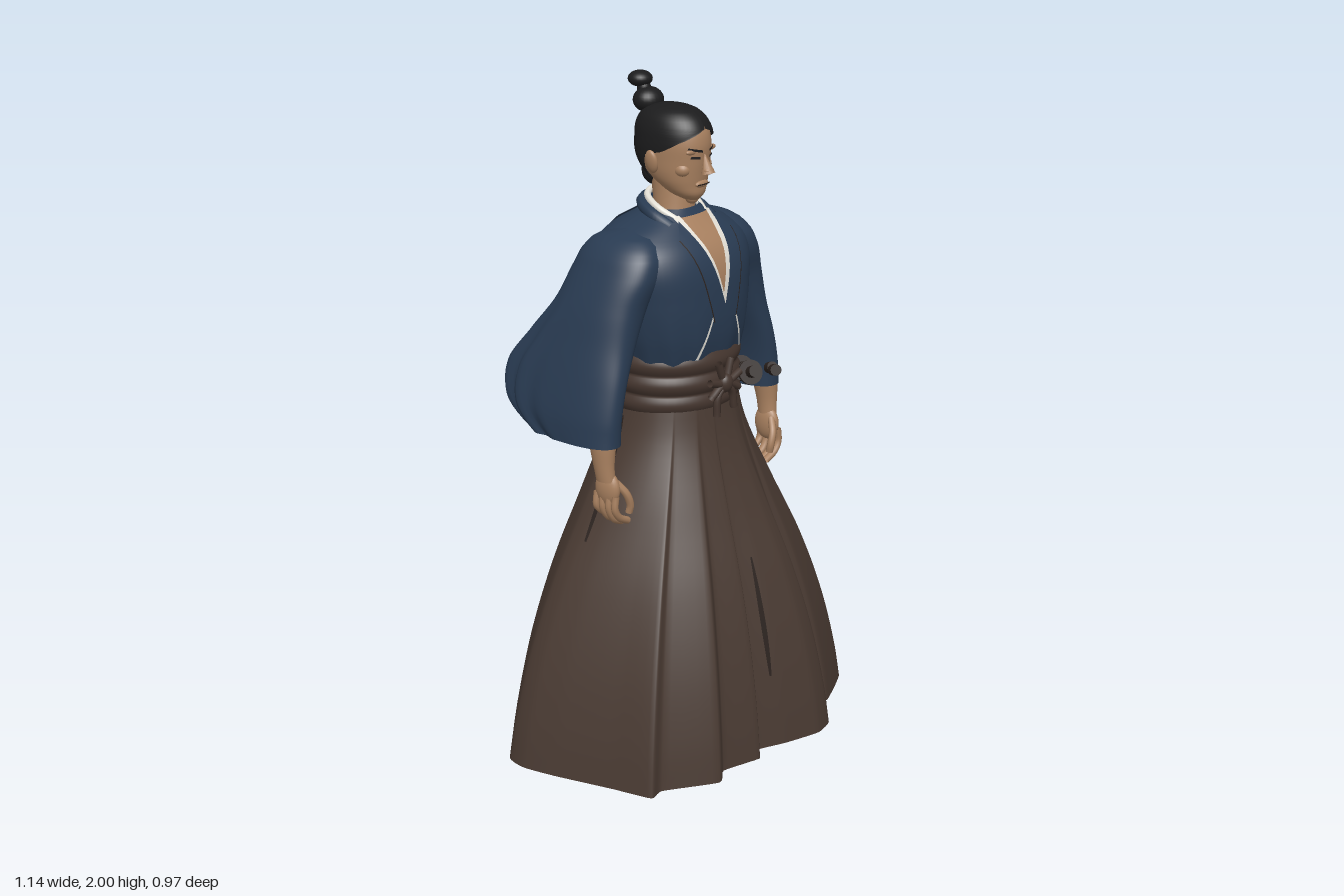
import * as THREE from 'three';

const mat = (name, color) => {
  const m = new THREE.MeshStandardMaterial({ color, side: THREE.DoubleSide });
  m.name = name;
  return m;
};
const V = (x, y, z) => new THREE.Vector3(x, y, z);

// Smooth surface through rows of points, each row running round the body
function loft(rows, closed = true) {
  const n = rows[0].length, pos = [], idx = [];
  rows.forEach(r => r.forEach(p => pos.push(p.x, p.y, p.z)));
  for (let i = 0; i < rows.length - 1; i++)
    for (let j = 0; j < (closed ? n : n - 1); j++) {
      const a = i * n + j, b = i * n + (j + 1) % n;
      idx.push(a, b, b + n, a, b + n, a + n);
    }
  const g = new THREE.BufferGeometry();
  g.setAttribute('position', new THREE.Float32BufferAttribute(pos, 3));
  g.setIndex(idx);
  g.computeVertexNormals();
  return g;
}

// Body of stacked super-ellipses; rings are [y, cx, cz, rx, rz]
function body(rings, p = 2) {
  const interp = new THREE.CubicInterpolant(rings.map(r => r[0]), rings.flatMap(r => r.slice(1)), 4);
  const at = y => Array.from(interp.evaluate(y));
  const pw = v => Math.sign(v) * Math.abs(v) ** (2 / p);
  const point = (y, a, off = 0) => {
    const [cx, cz, rx, rz] = at(y);
    return V(cx + (rx + off) * pw(Math.sin(a)), y, cz + (rz + off) * pw(Math.cos(a)));
  };
  const side = (x, y, off, s = 1) => {
    const [cx, cz, rx, rz] = at(y);
    const f = Math.max(0, 1 - Math.abs((x - cx) / (rx + off)) ** p) ** (1 / p);
    return V(x, y, cz + s * (rz + off) * f);
  };
  const y0 = rings[0][0], y1 = rings[rings.length - 1][0];
  const geometry = (nr = 30, nc = 48, offset = () => 0) => loft(Array.from({ length: nr + 1 }, (_, i) => {
    const y = y0 + (y1 - y0) * i / nr;
    return Array.from({ length: nc }, (_, j) => point(y, j / nc * Math.PI * 2, offset(y, j / nc * Math.PI * 2)));
  }));
  // thin four-cornered patch lying on the front (s = 1) or back (s = -1)
  const patch = (bl, br, tr, tl, off, s = 1, n = 10) => loft(Array.from({ length: n + 1 }, (_, i) =>
    Array.from({ length: n + 1 }, (_, j) => {
      const v = i / n, u = j / n, mix = k => (bl[k] * (1 - u) + br[k] * u) * (1 - v) + (tl[k] * (1 - u) + tr[k] * u) * v;
      return side(mix(0), mix(1), off, s);
    })), false);
  return { point, side, geometry, patch };
}

const tube = (pts, r, seg = 20) => new THREE.TubeGeometry(new THREE.CatmullRomCurve3(pts.map(p => V(...p))), seg, r, 8);

export function createModel() {
  const root = new THREE.Group();
  root.name = 'swordsman';
  const navy = mat('navy cloth', 0x293b52), brown = mat('brown cloth', 0x493a32), dark = mat('dark brown', 0x2a211d);
  const skin = mat('skin', 0xa98160), hair = mat('black hair', 0x1c1c1d), white = mat('white linen', 0xe4e0d6);
  const black = mat('black lacquer', 0x242222), straw = mat('tan sole', 0xa07252), belt = mat('belt brown', 0x44352e);
  const add = (name, geo, m, parent = root) => {
    const mesh = new THREE.Mesh(geo, m);
    mesh.name = name;
    parent.add(mesh);
    return mesh;
  };
  const ball = (name, m, p, s, parent) => {
    const mesh = add(name, new THREE.SphereGeometry(1, 24, 16), m, parent);
    mesh.position.set(...p);
    mesh.scale.set(...s);
    return mesh;
  };

  // Wide pleated skirt: waist ellipse blended into an irregular hem
  const hem = new THREE.CatmullRomCurve3([
    [-.12, -.41], [0, -.37], [.11, -.33], [.28, -.335], [.4, -.3], [.46, -.22], [.54, -.05], [.57, .11], [.55, .19], [.46, .3],
    [.31, .37], [.27, .35], [.24, .385], [.2, .46], [.13, .475], [.02, .44], [-.07, .4], [-.1, .44], [-.22, .405], [-.28, .44],
    [-.42, .345], [-.47, .35], [-.5, .23], [-.55, .05], [-.57, -.05], [-.555, -.12], [-.4, -.25], [-.25, -.35],
  ].map(([x, z]) => V(x, 0, z)), true, 'catmullrom', .22);
  const flare = new THREE.CubicInterpolant([.085, .2, .4, .6, .8, 1, 1.1], [1, .945, .8, .59, .32, .07, 0], 1);
  const skirtPoint = (u, y, off = 0) => {
    const h = hem.getPoint((u + 1) % 1), a = Math.atan2(h.x / .57, (h.z - .03) / .43), k = flare.evaluate(y)[0];
    const p = V(.19 * Math.sin(a), y, .03 + .17 * Math.cos(a)).lerp(V(h.x, y, h.z), k);
    p.x += off * Math.sin(a);
    p.z += off * Math.cos(a);
    p.y += .025 * h.x * k ** 3;
    return p;
  };
  add('skirt', loft(Array.from({ length: 29 }, (_, i) =>
    Array.from({ length: 140 }, (_, j) => skirtPoint(1 - j / 140, .085 + 1.015 * i / 28)))), brown);
  // Slits: front, back and both hips
  for (const [name, k, w, y0, y1] of [['frontSlit', 15.35, .08, .3, .65], ['backSlit', .6, .13, .09, .68],
    ['leftHipSlit', 6.4, .12, .72, 1.06], ['rightHipSlit', 23.6, .12, .72, 1.06]])
    add(name, loft(Array.from({ length: 13 }, (_, i) => [1, -1].map(s =>
      skirtPoint((k + s * w * Math.sin(Math.PI * (i + 2) / 16)) / 28, y0 + (y1 - y0) * i / 12, .004))), false), dark);

  // Belt in three rounded bands, with front knot and back panel
  const waist = body([[1.07, 0, .022, .19, .172], [1.15, 0, .022, .194, .177], [1.245, 0, .02, .194, .175]]);
  add('belt', waist.geometry(36, 56, y => .011 * Math.abs(Math.sin((y - 1.07) / .175 * Math.PI * 3))), belt);
  add('backPanel', waist.patch([-.11, 1.075], [.11, 1.075], [.075, 1.17], [-.075, 1.17], .016, -1), brown);
  const knots = [[[-.065, 1.165], [0, 1.15], [.065, 1.17]], [[-.035, 1.06], [-.03, 1.12], [0, 1.15], [.025, 1.22]],
    [[.04, 1.07], [.03, 1.12], [0, 1.15], [-.03, 1.215]], [[-.06, 1.12], [0, 1.15], [.06, 1.125]]];
  for (const s of [1, -1])
    knots.forEach(k => add(s > 0 ? 'frontKnotCord' : 'backKnotCord',
      tube(k.map(([x, y]) => [x, y - (s < 0 ? .03 : 0), s > 0 ? .215 : -.172]), .011), belt));
  ball('frontKnot', belt, [0, 1.152, .217], [.024, .028, .02]);
  ball('backKnot', belt, [0, 1.122, -.175], [.026, .028, .02]);

  // Jacket
  const torso = body([[1.2, 0, .02, .186, .165], [1.24, 0, .02, .197, .175], [1.3, 0, .015, .215, .189], [1.4, 0, .01, .235, .194],
    [1.5, 0, .005, .247, .185], [1.55, 0, .005, .228, .16], [1.59, 0, .002, .175, .126], [1.615, 0, .01, .12, .095],
    [1.64, 0, .02, .07, .066]], 2.4);
  add('jacket', torso.geometry(40, 64, (y, a) => .004 * Math.sin(a * 14) * Math.max(0, (1.38 - y) / .18)), navy);
  add('chest', torso.patch([-.002, 1.4], [.002, 1.4], [.062, 1.622], [-.062, 1.622], .004), skin);
  for (const s of [1, -1]) {
    const m = pts => pts.map(([x, y]) => [x * s, y]);
    add('innerCollar', torso.patch(...m([[-.008, 1.385], [.012, 1.385], [.076, 1.622], [.056, 1.628]]), .006), white);
    add('collar', torso.patch(...m([[-.01, 1.355], [.045, 1.34], [.108, 1.575], [.07, 1.617]]), s > 0 ? .011 : .009), navy);
    add('collarSeam', torso.patch(...m([[.044, 1.34], [.048, 1.34], [.111, 1.575], [.107, 1.575]]), .011), dark);
    add('jacketEdge', torso.patch(...m([[.088, 1.235], [.097, 1.235], [.044, 1.37], [.038, 1.37]]), .007), white);
  }
  add('innerNeckband', tube([[-.06, 1.615, .088], [-.077, 1.645, .03], [-.05, 1.665, -.03], [0, 1.672, -.052],
    [.05, 1.665, -.03], [.077, 1.645, .03], [.06, 1.615, .088]], .01, 40), white);
  add('neckband', tube([[-.085, 1.598, .088], [-.092, 1.625, .03], [-.06, 1.645, -.04], [0, 1.65, -.064],
    [.06, 1.645, -.04], [.092, 1.625, .03], [.085, 1.598, .088]], .018, 40), navy);
  add('backCollarTab', torso.patch([-.075, 1.565], [.075, 1.565], [.06, 1.625], [-.06, 1.625], .009, -1), navy);

  // Neck and head
  add('neck', body([[1.56, 0, .03, .075, .065], [1.62, 0, .028, .06, .058], [1.68, 0, .02, .054, .06],
    [1.75, 0, .01, .054, .06]]).geometry(14, 32), skin);
  const head = body([[1.665, 0, .088, .018, .022], [1.68, 0, .073, .042, .049], [1.71, 0, .053, .064, .073], [1.74, 0, .036, .075, .094],
    [1.78, 0, .025, .08, .11], [1.83, 0, .025, .081, .113], [1.87, 0, .022, .074, .104], [1.9, 0, .02, .055, .078],
    [1.913, 0, .02, .033, .048], [1.92, 0, .02, .001, .001]], 2.15);
  add('head', head.geometry(36, 48), skin);
  add('chinCap', new THREE.SphereGeometry(.021, 16, 10), skin).position.set(0, 1.672, .09);
  const nose = add('nose', new THREE.ConeGeometry(.02, .06, 12), skin);
  nose.position.set(0, 1.775, .142);
  nose.rotation.x = -.25;
  ball('noseTip', skin, [0, 1.755, .15], [.017, .011, .014]);
  ball('lips', skin, [0, 1.714, .126], [.026, .01, .009]);
  add('mouthLine', head.patch([-.026, 1.712], [.026, 1.712], [.024, 1.716], [-.024, 1.716], .01), dark);
  for (const s of [1, -1]) {
    const m = pts => pts.map(([x, y]) => [x * s, y]);
    add('eye', head.patch(...m([[.018, 1.788], [.046, 1.791], [.044, 1.798], [.02, 1.795]]), .003), black);
    add('eyebrow', head.patch(...m([[.014, 1.806], [.054, 1.816], [.052, 1.822], [.014, 1.813]]), .004), hair);
    ball('brow', skin, [.034 * s, 1.81, .122], [.028, .009, .009]);
    ball('cheek', skin, [.044 * s, 1.757, .092], [.024, .022, .026]);
    ball('ear', skin, [.087 * s, 1.775, .018], [.012, .034, .021]).rotation.z = -.2 * s;
  }

  // Hair cap with receding hairline, then the topknot
  const hairline = new THREE.LinearInterpolant([1.715, 1.75, 1.79, 1.805, 1.83, 1.85, 1.866], [2.15, 1.95, 1.8, 1.35, .95, .45, 0], 1);
  add('hair', loft(Array.from({ length: 31 }, (_, i) => {
    const y = 1.715 + .205 * i / 30, a = y > 1.866 ? 0 : hairline.evaluate(y)[0];
    return Array.from({ length: 49 }, (_, j) => {
      const p = head.point(y, a + (Math.PI * 2 - 2 * a) * j / 48, i === 30 ? 0 : .008);
      p.y += .006 * i / 30;
      return p;
    });
  }), false), hair);
  ball('napeHair', hair, [0, 1.735, -.03], [.06, .05, .04]);
  ball('topknotBase', hair, [0, 1.922, -.07], [.046, .036, .042]);
  ball('topknotTie', hair, [0, 1.95, -.086], [.02, .026, .02]);
  ball('topknotTip', hair, [0, 1.977, -.1], [.035, .023, .035]);

  // One arm with its hanging sleeve, and one foot; mirrored for the other side
  for (const s of [1, -1]) {
    const half = new THREE.Group();
    half.name = s > 0 ? 'leftLimbs' : 'rightLimbs';
    half.scale.x = s;
    root.add(half);
    const sleeve = body([[1.03, .35, -.03, .063, .15], [1.06, .348, -.055, .065, .175], [1.1, .345, -.076, .066, .197],
      [1.2, .322, -.085, .07, .205], [1.3, .286, -.06, .08, .175], [1.4, .25, -.025, .086, .145], [1.5, .205, -.002, .086, .137],
      [1.55, .185, 0, .074, .118], [1.585, .165, 0, .045, .07], [1.597, .155, 0, .005, .01]], 2.3);
    add('sleeve', sleeve.geometry(36, 72, (y, a) =>
      .014 * Math.sin(a * 11 + y * 8) * Math.max(0, -Math.cos(a)) * Math.min(1, Math.max(0, (1.42 - y) / .2))), navy, half);
    add('forearm', body([[.93, .358, .085, .023, .03], [.97, .36, .08, .026, .032], [1.05, .356, .072, .036, .042],
      [1.2, .33, .05, .042, .046]]).geometry(14, 24), skin, half);
    ball('palm', skin, [.353, .905, .087], [.022, .052, .042], half);
    for (let i = 0; i < 4; i++) {
      const z = .123 - i * .023, d = [.008, 0, .003, .014][i];
      add('finger', tube([[.36, .89, z], [.363, .85, z], [.345, .815 + d, z], [.308, .795 + d, z - .003]], .0105), skin, half);
    }
    add('thumb', tube([[.345, .925, .11], [.325, .89, .132], [.313, .855, .135], [.313, .832, .13]], .011), skin, half);

    const sole = add('sandalSole', new THREE.CylinderGeometry(1, 1, .022, 36), straw, half);
    sole.position.set(.105, .011, .115);
    sole.scale.set(.053, 1, .135);
    ball('sock', white, [.105, .05, .125], [.043, .034, .115], half);
    ball('heel', white, [.105, .062, .04], [.038, .045, .05], half);
    add('ankle', new THREE.CylinderGeometry(.042, .036, .13, 24), white, half).position.set(.105, .13, .035);
    for (const k of [1, -1])
      add('sandalStrap', tube([[.105, .062, .215], [.105 + .024 * k, .077, .17], [.105 + .043 * k, .058, .115],
        [.105 + .046 * k, .022, .07]], .008), black, half);
  }

  // Two sheathed swords: pommel, guard and slightly bowed scabbard on one line each
  for (const [name, a, b, t, r] of [['longSword', [-.035, 1.245, .42], [.545, .917, -.478], .28, .016],
    ['shortSword', [.055, 1.21, .335], [.37, .915, -.285], .2, .015]]) {
    const g = new THREE.Group(), A = V(...a), B = V(...b), G = A.clone().lerp(B, t), dir = B.clone().sub(A).normalize();
    g.name = name;
    root.add(g);
    const turn = new THREE.Quaternion().setFromUnitVectors(V(0, 1, 0), dir);
    const mid = G.clone().lerp(B, .5).add(V(0, -.012, 0));
    add('scabbard', tube([G, mid, B].map(p => p.toArray()), r, 24), black, g);
    const parts = [['pommel', A, new THREE.CylinderGeometry(.016, .016, .026, 12), dark],
      ['guard', G, new THREE.CylinderGeometry(.036, .036, .009, 24), dark],
      ['collarRing', G.clone().addScaledVector(dir, -.018), new THREE.CylinderGeometry(.017, .017, .03, 12), dark],
      ['scabbardTip', B, new THREE.SphereGeometry(r, 12, 8), black]];
    for (const [n, p, geo, m] of parts) {
      const mesh = add(n, geo, m, g);
      mesh.position.copy(p);
      mesh.quaternion.copy(turn);
    }
  }
  return root;
}
